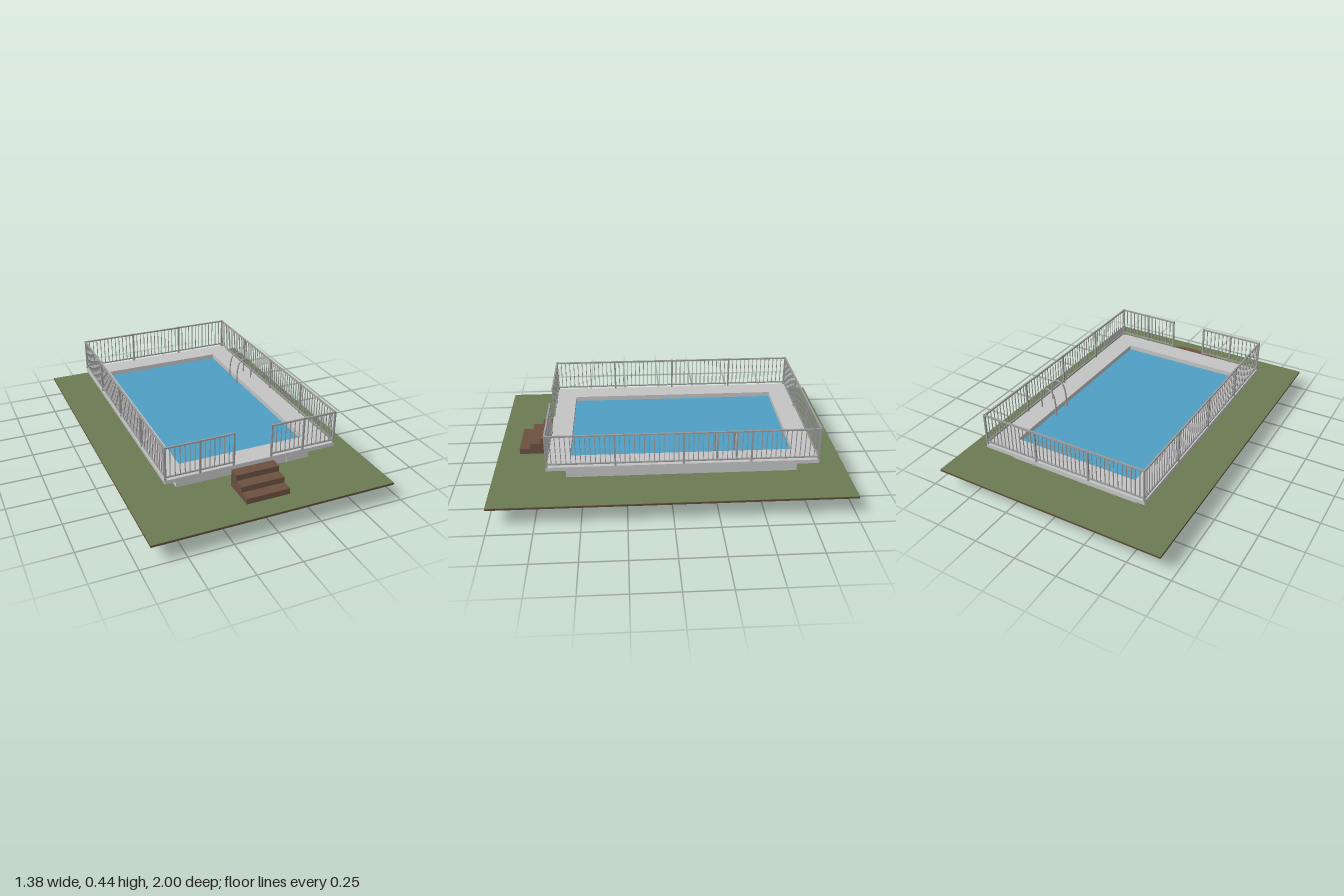
import * as THREE from 'three';

const mat = (name, color, side = THREE.FrontSide) => {
  const m = new THREE.MeshStandardMaterial({ color, side });
  m.name = name;
  return m;
};

export function createModel() {
  const M = {
    grass: mat('grass green', 0x6b7b54),
    soil: mat('soil brown', 0x644a38),
    wood: mat('wood brown', 0x6b5040),
    concrete: mat('deck grey', 0xc4c4c4),
    metal: mat('metal grey', 0x9c9c9c),
    water: mat('water blue', 0x4f9fc4, THREE.DoubleSide),
    floor: mat('pool floor blue', 0x2f6aa8, THREE.DoubleSide),
  };
  const model = new THREE.Group();
  model.name = 'raisedPool';
  const ZC = -0.0635; // centre of deck and pool along z
  const POOL = { w: 0.745, d: 1.25 };

  const add = (parent, name, geo, material) => {
    const m = new THREE.Mesh(geo, material);
    m.name = name;
    parent.add(m);
    return m;
  };
  const group = (name) => {
    const g = new THREE.Group();
    g.name = name;
    model.add(g);
    return g;
  };
  const box = (parent, name, material, w, h, d, x, y, z) => {
    const m = add(parent, name, new THREE.BoxGeometry(w, h, d), material);
    m.position.set(x, y, z);
    return m;
  };
  const rect = (target, w, d, zc) => {
    const x = w / 2, a = -zc - d / 2, b = -zc + d / 2;
    target.moveTo(-x, a).lineTo(x, a).lineTo(x, b).lineTo(-x, b).closePath();
    return target;
  };
  // Flat slab with the pool opening cut through it
  const ring = (name, material, w, d, zc, y0, y1) => {
    const s = rect(new THREE.Shape(), w, d, zc);
    s.holes.push(rect(new THREE.Path(), POOL.w, POOL.d, ZC));
    const geo = new THREE.ExtrudeGeometry(s, { depth: y1 - y0, bevelEnabled: false });
    geo.rotateX(-Math.PI / 2).translate(0, y0, 0);
    return add(model, name, geo, material);
  };

  // Ground, pool wall and deck
  ring('soil', M.soil, 1.376, 2, 0, 0.113, 0.124);
  ring('lawn', M.grass, 1.376, 2, 0, 0.124, 0.126);
  ring('poolWall', M.concrete, 0.8, 1.305, ZC, 0.126, 0.228);
  ring('deck', M.concrete, 0.995, 1.5, ZC, 0.228, 0.25);

  // Water surface and pool floor
  const sheet = (name, material, y) => {
    const geo = new THREE.PlaneGeometry(POOL.w, POOL.d).rotateX(-Math.PI / 2);
    add(model, name, geo, material).position.set(0, y, ZC);
  };
  sheet('water', M.water, 0.222);
  sheet('poolFloor', M.floor, 0);

  // Thin ribs on the end walls
  for (const sx of [-1, 1])
    for (const sz of [-1, 1])
      box(model, 'wallRib', M.concrete, 0.01, 0.102, 0.006, sx * 0.262, 0.177, ZC + sz * 0.655);

  // Diagonal struts under the deck overhang
  const struts = group('struts');
  const strut = (x, z, angle) => {
    const pivot = new THREE.Group();
    pivot.name = 'strut';
    pivot.position.set(x, 0.207, z);
    pivot.rotation.y = angle;
    box(pivot, 'strutBar', M.metal, 0.078, 0.006, 0.008, 0.028, 0, 0).rotation.z = 0.64;
    struts.add(pivot);
  };
  for (let i = 0; i < 6; i++) {
    const z = 0.55 - i * 0.2445;
    strut(0.4, z, 0);
    strut(-0.4, z, Math.PI);
  }
  for (const x of [-0.36, -0.12, 0.12, 0.36]) {
    strut(x, ZC + 0.6525, -Math.PI / 2);
    strut(x, ZC - 0.6525, Math.PI / 2);
  }

  // Railing: a straight run of equal bays between two points
  const railing = group('railing');
  const run = (x0, z0, x1, z1, bays) => {
    const g = new THREE.Group();
    g.name = 'railRun';
    const len = Math.hypot(x1 - x0, z1 - z0);
    g.position.set(x0, 0, z0);
    g.rotation.y = Math.atan2(z0 - z1, x1 - x0);
    box(g, 'topRail', M.metal, len, 0.008, 0.01, len / 2, 0.437, 0);
    box(g, 'bottomRail', M.metal, len, 0.007, 0.008, len / 2, 0.267, 0);
    const bay = len / bays;
    const n = Math.round(bay / 0.0262);
    for (let b = 0; b <= bays; b++) {
      box(g, 'post', M.metal, 0.01, 0.194, 0.01, b * bay, 0.346, 0);
      if (b < bays)
        for (let i = 1; i < n; i++)
          box(g, 'baluster', M.metal, 0.004, 0.166, 0.004, (b + i / n) * bay, 0.352, 0);
    }
    railing.add(g);
  };
  const RX = 0.4925, RF = ZC + 0.745, RB = ZC - 0.745;
  run(-RX, RB, RX, RB, 3);
  for (const s of [-1, 1]) {
    run(s * RX, RF, s * RX, RB, 4);
    run(s * RX, RF, s * 0.11, RF, 2);
  }

  // Front steps
  const steps = group('steps');
  for (let i = 0; i < 3; i++) {
    const h = 0.033 * (i + 1);
    box(steps, 'step', M.wood, 0.25, h, 0.0635, 0, 0.126 + h / 2, 0.844 - i * 0.0635);
  }

  // Pool ladder
  const ladder = group('ladder');
  const path = new THREE.CatmullRomCurve3([
    [0.448, 0.25], [0.448, 0.33], [0.434, 0.372], [0.402, 0.387], [0.37, 0.372],
    [0.354, 0.33], [0.349, 0.25], [0.346, 0.16], [0.347, 0.08], [0.352, 0.045], [0.367, 0.031],
  ].map(([x, y]) => new THREE.Vector3(x, y, 0)));
  for (const z of [-0.25, -0.358])
    add(ladder, 'ladderRail', new THREE.TubeGeometry(path, 48, 0.0045, 8), M.metal).position.z = z;
  for (const y of [0.088, 0.138, 0.188])
    box(ladder, 'ladderRung', M.metal, 0.022, 0.005, 0.108, 0.347, y, -0.304);

  return model;
}
